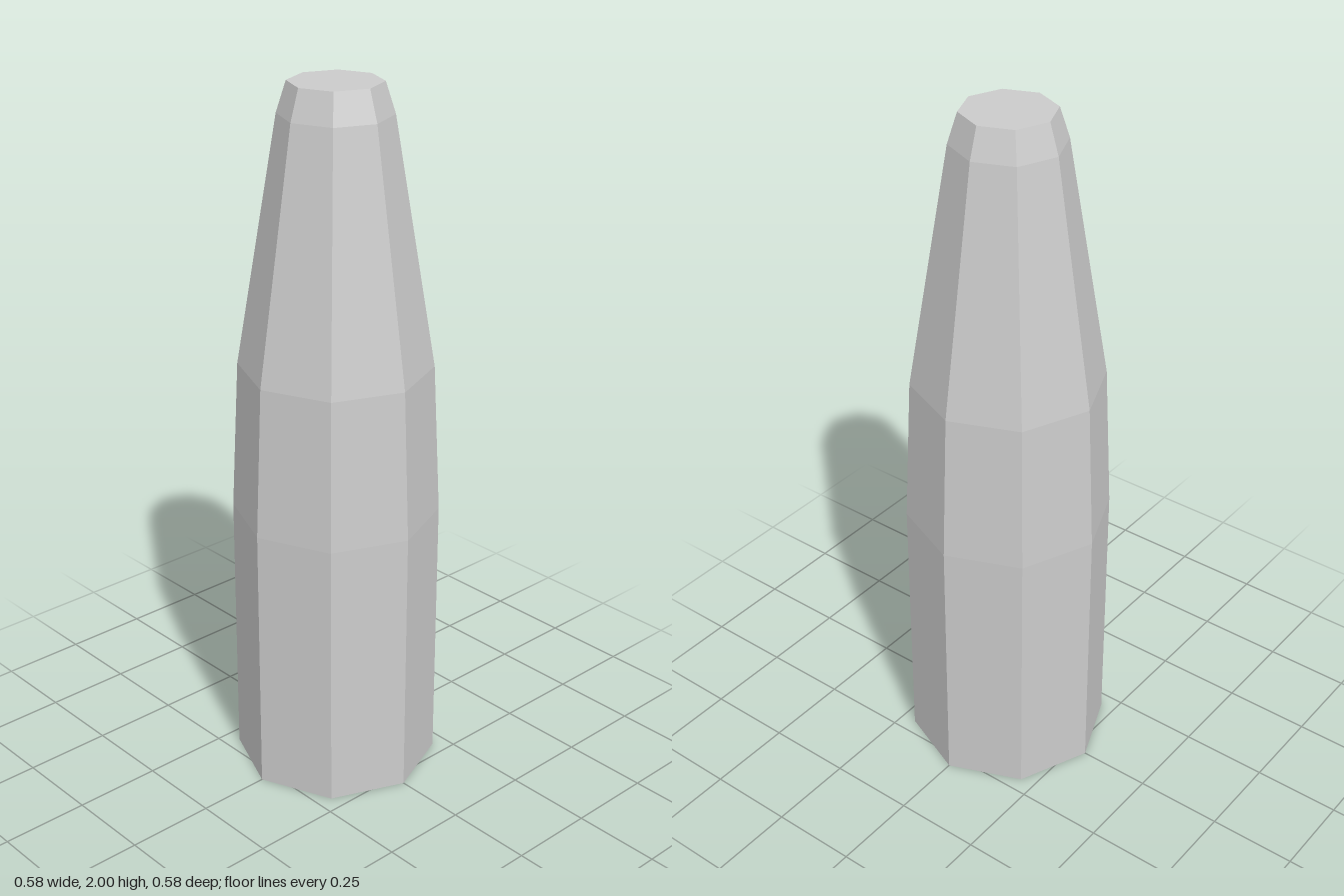
import * as THREE from 'three';

export function createModel() {
  const group = new THREE.Group();
  const material = new THREE.MeshStandardMaterial({ color: 0xcccccc, flatShading: true });

  // Tapered eight-sided body: [radius, height], closed at both ends
  const profile = [
    [0, 0], [0.291, 0], [0.291, 0.79], [0.27, 1.22], [0.155, 1.915], [0.128, 2], [0, 2],
  ].map(([r, y]) => new THREE.Vector2(r, y));

  const body = new THREE.Mesh(new THREE.LatheGeometry(profile, 8), material);
  body.name = 'taperedBody';
  group.add(body);
  return group;
}
